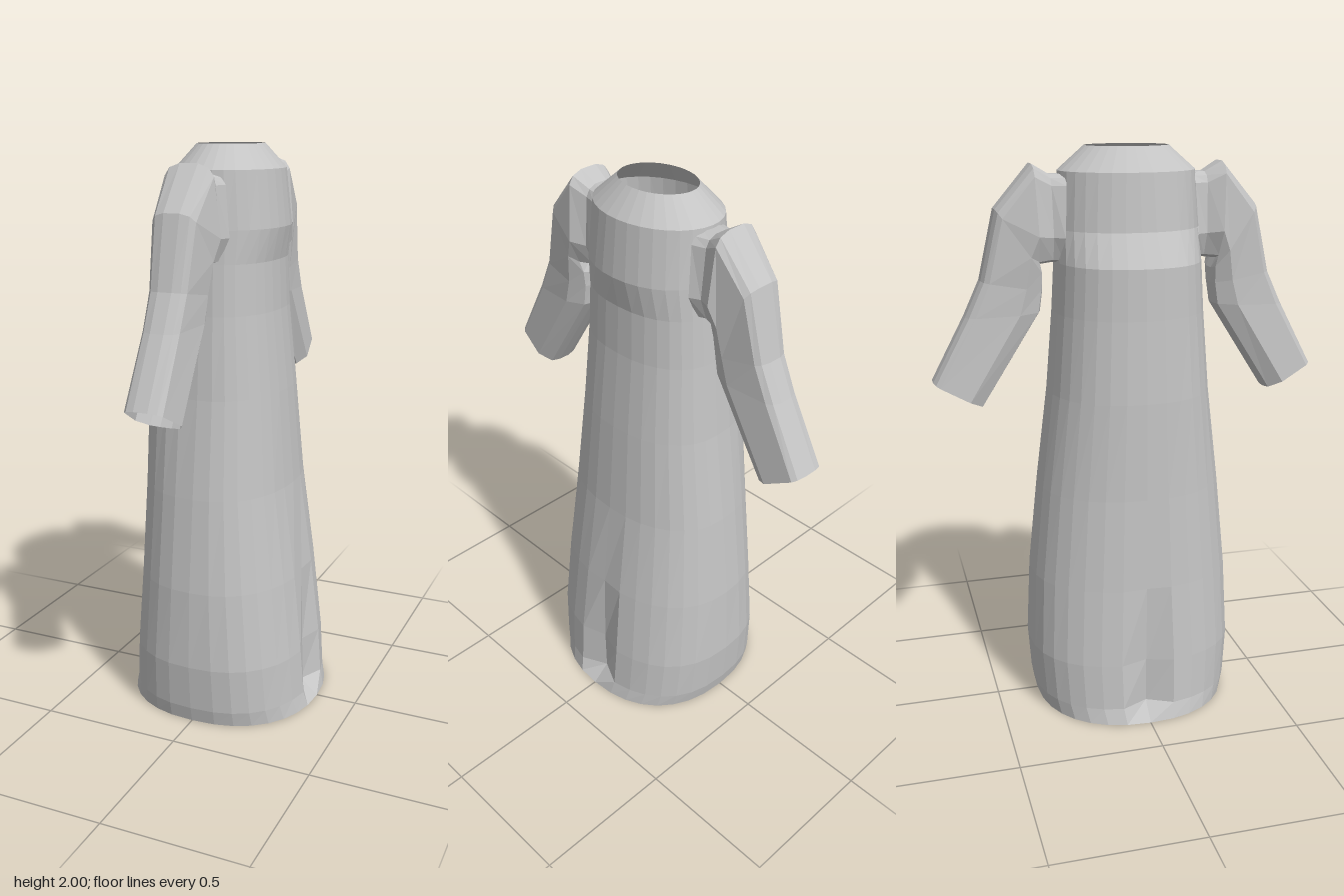
import * as THREE from 'three';

const cloth = new THREE.MeshStandardMaterial({ color: 0xc4c4c4, flatShading: true, side: THREE.DoubleSide });
cloth.name = 'grey cloth';

// Joins equal-length rings of [x, y, z] points into an open tube
function loft(rings) {
  const n = rings[0].length, index = [];
  for (let r = 0; r < rings.length - 1; r++) {
    for (let i = 0; i < n; i++) {
      const a = r * n + i, b = r * n + (i + 1) % n;
      index.push(a, a + n, b, b, a + n, b + n);
    }
  }
  const geo = new THREE.BufferGeometry();
  geo.setAttribute('position', new THREE.Float32BufferAttribute(rings.flat(2), 3));
  geo.setIndex(index);
  geo.computeVertexNormals();
  return geo;
}

// Robe levels: y, reach to -x, reach to +x, half depth, squareness, side fold depth
const LEVELS = [
  [2.0, 0.11, 0.11, 0.145, 2, 0],
  [1.92, 0.18, 0.18, 0.237, 2, 0],
  [1.73, 0.2, 0.2, 0.247, 2.1, 0],
  [1.62, 0.262, 0.18, 0.252, 2.3, 0],
  [1.45, 0.267, 0.187, 0.262, 2.3, 0],
  [1.17, 0.28, 0.215, 0.285, 2.3, 0],
  [0.83, 0.285, 0.243, 0.328, 2.3, 0],
  [0.5, 0.3, 0.29, 0.362, 2.3, 0.01],
  [0.22, 0.318, 0.322, 0.374, 2.4, 0.035],
  [0.055, 0.33, 0.335, 0.362, 2.4, 0.05],
  [0, 0.35, 0.35, 0.35, 2.3, 0],
];

function robeRing([y, left, right, depth, power, fold]) {
  const ring = [], n = 32;
  for (let i = 0; i < n; i++) {
    const t = (i / n) * Math.PI * 2, c = Math.cos(t), s = Math.sin(t);
    const round = v => Math.sign(v) * Math.abs(v) ** (2 / power);
    let x = round(c) * (c < 0 ? left : right);
    // one pleat pressed in at the middle of each side
    if (i % (n / 2) === 0) x -= Math.sign(c) * fold;
    ring.push([x, y, -round(s) * depth]);
  }
  return ring;
}

// Sleeve sections: outer z, y; inner z, y; half width
const SLEEVE = [
  [0.22, 1.91, 0.235, 1.62, 0.095],
  [0.27, 1.91, 0.265, 1.62, 0.078],
  [0.33, 1.945, 0.315, 1.615, 0.105],
  [0.455, 1.8, 0.3, 1.58, 0.092],
  [0.51, 1.565, 0.3, 1.53, 0.08],
  [0.566, 1.445, 0.31, 1.455, 0.078],
  [0.683, 1.225, 0.515, 1.135, 0.082],
];
// Section outline: share of the way from outer to inner edge, share of half width
const HALF = [[0, 0.3], [0.04, 0.65], [0.12, 0.82], [0.7, 1], [0.96, 0.65], [1, 0.25]];
const SECTION = [...HALF, ...HALF.map(([u, w]) => [u, -w]).reverse()];

function sleeveRing([oz, oy, iz, iy, w], side) {
  return SECTION.map(([u, v]) => [v * w * side, oy + (iy - oy) * u, (oz + (iz - oz) * u) * side]);
}

export function createModel() {
  const group = new THREE.Group();
  group.name = 'robe';
  const add = (name, geo) => {
    const mesh = new THREE.Mesh(geo, cloth);
    mesh.name = name;
    group.add(mesh);
  };
  add('robeBody', loft(LEVELS.map(robeRing)));
  for (const side of [1, -1]) {
    add(side > 0 ? 'frontSleeve' : 'backSleeve', loft(SLEEVE.map(s => sleeveRing(s, side))));
  }
  return group;
}
